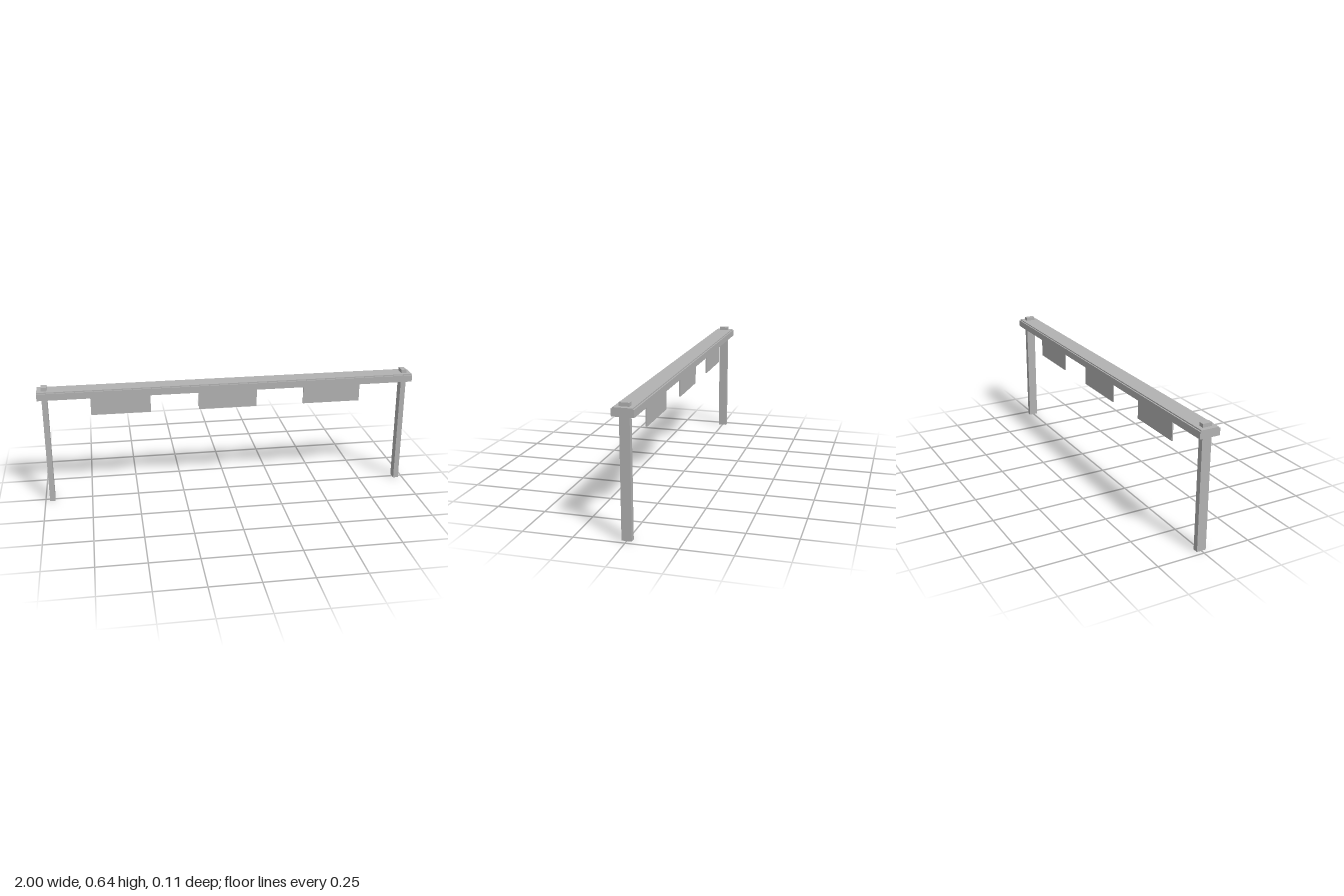
import * as THREE from 'three';

// Removes the faces lying on the lowest plane, leaving a hollow sheet shell.
function openBottom(geometry) {
  const geo = geometry.toNonIndexed();
  const pos = geo.attributes.position;
  geo.computeBoundingBox();
  const floor = geo.boundingBox.min.y + 1e-5;
  const kept = [];
  for (let i = 0; i < pos.count; i += 3) {
    if ([0, 1, 2].some((k) => pos.getY(i + k) > floor)) kept.push(i, i + 1, i + 2);
  }
  geo.clearGroups();
  geo.setIndex(kept);
  return geo;
}

export function createModel() {
  const group = new THREE.Group();
  const metal = new THREE.MeshStandardMaterial({ color: 0xb2b2b2, side: THREE.DoubleSide });
  metal.name = 'grey metal';

  const add = (name, geometry, x, y, z) => {
    const mesh = new THREE.Mesh(geometry, metal);
    mesh.name = name;
    mesh.position.set(x, y, z);
    group.add(mesh);
  };

  // Crossbeam: stepped sheet channel, open underneath, closed at the ends
  const profile = new THREE.Shape([
    [-0.053, 0.585], [0.053, 0.585], [0.053, 0.621], [0.046, 0.621],
    [0.046, 0.627], [-0.046, 0.627], [-0.046, 0.621], [-0.053, 0.621],
  ].map(([x, y]) => new THREE.Vector2(x, y)));
  const beam = new THREE.ExtrudeGeometry(profile, { depth: 2, bevelEnabled: false });
  beam.translate(0, 0, -1).rotateY(Math.PI / 2);
  add('crossbeam', openBottom(beam), 0, 0, 0);

  // Hollow posts that pass through the beam and end in a closed top
  const post = openBottom(new THREE.BoxGeometry(0.028, 0.645, 0.049));
  for (const side of [-1, 1]) {
    add(side > 0 ? 'leftPost' : 'rightPost', post, side * 0.963, 0.3225, 0);
  }

  // Row of hanging panels, set slightly behind the centre line
  const panel = new THREE.BoxGeometry(0.315, 0.11, 0.007);
  ['rightPanel', 'middlePanel', 'leftPanel'].forEach((name, i) => {
    add(name, panel, (i - 1) * 0.572, 0.522, -0.02);
  });

  return group;
}
